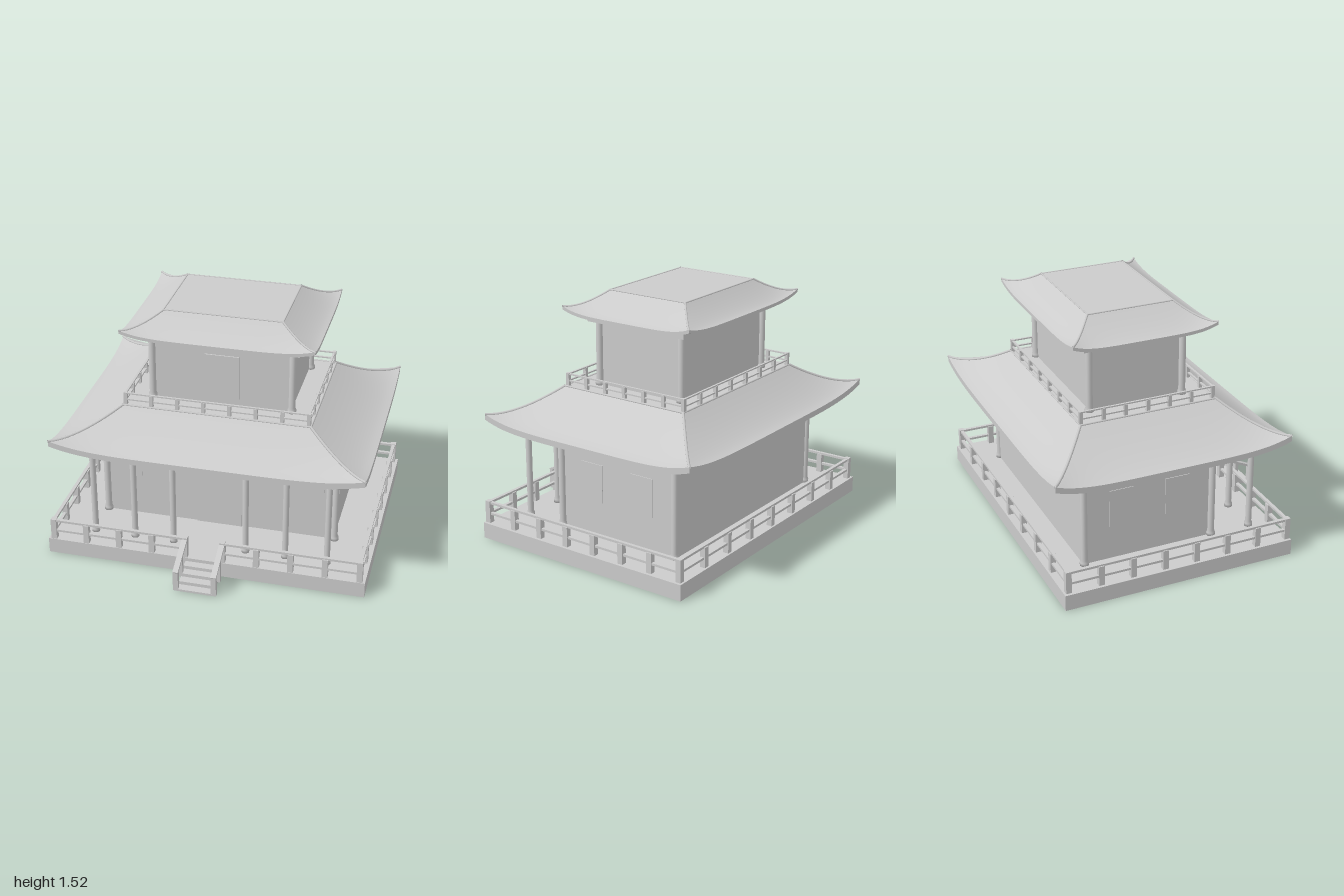
import * as THREE from 'three';
import { mergeGeometries } from 'three/addons/utils/BufferGeometryUtils.js';

const mat = new THREE.MeshStandardMaterial({ color: 0xcccccc, side: THREE.DoubleSide });

function add(parent, name, geo) {
  const m = new THREE.Mesh(geo, mat);
  m.name = name;
  parent.add(m);
  return m;
}

// Box given by its min and max on each axis
function box(parent, name, x0, x1, y0, y1, z0, z1) {
  const m = add(parent, name, new THREE.BoxGeometry(x1 - x0, y1 - y0, z1 - z0));
  m.position.set((x0 + x1) / 2, (y0 + y1) / 2, (z0 + z1) / 2);
  return m;
}

// Square bar between two points
function bar(parent, name, a, b, w, h) {
  const A = new THREE.Vector3(...a), B = new THREE.Vector3(...b);
  const m = add(parent, name, new THREE.BoxGeometry(w, h, A.distanceTo(B)));
  m.position.copy(A).add(B).multiplyScalar(0.5);
  m.lookAt(B);
  return m;
}

// Round column with a small foot
function column(parent, name, x, z, y0, y1, r) {
  const pts = [[0, 0], [r * 1.3, 0], [r * 1.3, 0.02], [r, 0.035], [r, y1 - y0], [0, y1 - y0]];
  const m = add(parent, name, new THREE.LatheGeometry(pts.map(p => new THREE.Vector2(...p)), 16));
  m.position.set(x, y0, z);
}

// Straight railing run: posts at even spacing plus two rails
function railing(parent, a, b, n, y, h, w) {
  const [ax, az] = a, [bx, bz] = b;
  for (let i = 0; i <= n; i++) {
    const x = ax + (bx - ax) * i / n, z = az + (bz - az) * i / n;
    const top = y + (i === 0 || i === n ? h : h * 0.9);
    box(parent, 'railingPost', x - w / 2, x + w / 2, y, top, z - w / 2, z + w / 2);
  }
  for (const f of [0.92, 0.42])
    bar(parent, 'railingRail', [ax, y + h * f, az], [bx, y + h * f, bz], w * 0.6, h * 0.1);
}

// A point of a rectangular ring on side s, t from -1 to 1, corners lifted
function ringPoint(r, s, t) {
  const y = r.y + r.lift * Math.abs(t) ** 5;
  const [x, z] = [[t * r.hx, r.hz], [r.hx, -t * r.hz], [-t * r.hx, -r.hz], [-r.hx, t * r.hz]][s];
  return new THREE.Vector3(x, y, z + r.cz);
}

// Skin the four sides through a list of rings
function skin(rings) {
  const N = 40, sides = [];
  for (let s = 0; s < 4; s++) {
    const pos = [], idx = [];
    rings.forEach((r, j) => {
      for (let i = 0; i <= N; i++) {
        pos.push(...ringPoint(r, s, i / N * 2 - 1).toArray());
        if (i < N && j < rings.length - 1) {
          const a = j * (N + 1) + i, d = a + N + 1;
          idx.push(a, a + 1, d + 1, a, d + 1, d);
        }
      }
    });
    const g = new THREE.BufferGeometry();
    g.setAttribute('position', new THREE.Float32BufferAttribute(pos, 3));
    g.setIndex(idx);
    g.computeVertexNormals();
    sides.push(g);
  }
  return mergeGeometries(sides);
}

// Hipped roof with concave slopes, upturned corners and a flat top
function roof(parent, name, o) {
  const g = new THREE.Group();
  g.name = name;
  parent.add(g);
  const slope = [];
  for (let j = 0; j <= 12; j++) {
    const v = j / 12, mix = (a, b) => a + (b - a) * v;
    slope.push({
      hx: mix(o.eave[0], o.top[0]), hz: mix(o.eave[1], o.top[1]), cz: o.cz,
      y: o.yEave + (o.yTop - o.yEave) * v ** 1.35, lift: o.lift * (1 - v) ** 2.5,
    });
  }
  const lip = { ...slope[0], y: o.yEave - o.thick };
  const inner = { hx: o.under[0], hz: o.under[1], cz: o.cz, y: o.yUnder, lift: 0 };
  add(g, 'roofSlopes', skin(slope));
  add(g, 'eaveEdge', skin([lip, slope[0]]));
  add(g, 'roofUnderside', skin([inner, lip]));
  box(g, 'roofTop', -o.top[0], o.top[0], o.yTop - 0.01, o.yTop, o.cz - o.top[1], o.cz + o.top[1]);
  box(g, 'ceiling', -inner.hx, inner.hx, o.yUnder, o.yUnder + 0.005, o.cz - inner.hz, o.cz + inner.hz);
  // Ridge trim along hips and around the top
  const last = slope[slope.length - 1];
  for (let s = 0; s < 4; s++) {
    const hip = new THREE.CatmullRomCurve3(slope.map(r => ringPoint(r, s, 1)));
    add(g, 'hipRidge', new THREE.TubeGeometry(hip, 24, o.trim, 6));
    const edge = new THREE.LineCurve3(ringPoint(last, s, -1), ringPoint(last, s, 1));
    add(g, 'topRidge', new THREE.TubeGeometry(edge, 1, o.trim * 0.7, 6));
  }
}

export function createModel() {
  const model = new THREE.Group();
  model.name = 'pavilion';
  const group = name => {
    const g = new THREE.Group();
    g.name = name;
    model.add(g);
    return g;
  };

  // Platform and front steps
  box(model, 'platform', -1, 1, 0, 0.1, -0.825, 0.654);
  const stairs = group('stairs');
  for (let i = 0; i < 4; i++)
    box(stairs, 'step', -0.11, 0.11, 0, 0.078 - i * 0.0215, 0.65, 0.705 + i * 0.052);
  for (const s of [-1, 1]) {
    const x = s * 0.118;
    box(stairs, 'stairPost', x - 0.016, x + 0.016, 0, 0.13, 0.835, 0.86);
    box(stairs, 'stairPost', x - 0.016, x + 0.016, 0.03, 0.18, 0.735, 0.757);
    bar(stairs, 'stairRail', [x, 0.128, 0.86], [x, 0.228, 0.64], 0.034, 0.014);
  }

  // Lower railing, open at the steps
  const rail = group('lowerRailing');
  for (const s of [-1, 1]) {
    railing(rail, [s * 0.965, 0.633], [s * 0.965, -0.795], 7, 0.1, 0.14, 0.035);
    railing(rail, [s * 0.965, 0.633], [s * 0.118, 0.633], 4, 0.1, 0.14, 0.035);
  }
  railing(rail, [-0.965, -0.795], [0.965, -0.795], 8, 0.1, 0.14, 0.035);

  // Ground storey
  const lower = group('lowerStorey');
  box(lower, 'lowerWalls', -0.735, 0.735, 0.1, 0.66, -0.605, 0.23);
  box(lower, 'lowerBeam', -0.77, 0.77, 0.645, 0.68, -0.65, 0.52);
  box(lower, 'lowerDoor', -0.145, 0.145, 0.1, 0.535, 0.225, 0.238);
  for (const s of [-1, 1]) {
    for (const x of [0.23, 0.48, 0.74]) column(lower, 'verandaColumn', s * x, 0.497, 0.1, 0.66, 0.019);
    for (const z of [0.235, -0.6]) column(lower, 'cornerColumn', s * 0.74, z, 0.1, 0.66, 0.021);
    box(lower, 'frontWindow', s * 0.585 - 0.08, s * 0.585 + 0.08, 0.38, 0.535, 0.225, 0.235);
    for (const z of [0.005, -0.36])
      box(lower, 'sideWindow', s * 0.735 - 0.005, s * 0.735 + 0.005, 0.315, 0.555, z - 0.078, z + 0.078);
  }
  roof(model, 'lowerRoof', {
    eave: [0.967, 0.746], top: [0.585, 0.437], under: [0.72, 0.6], cz: -0.111,
    yEave: 0.743, yTop: 0.937, yUnder: 0.677, thick: 0.036, lift: 0.055, trim: 0.009,
  });

  // Balcony railing
  const balcony = group('balconyRailing');
  for (const s of [-1, 1]) {
    railing(balcony, [s * 0.57, 0.31], [s * 0.57, -0.54], 6, 0.935, 0.083, 0.022);
    const z = s > 0 ? 0.31 : -0.54;
    railing(balcony, [-0.57, z], [0.57, z], 7, 0.935, 0.083, 0.022);
  }

  // Upper storey
  const upper = group('upperStorey');
  box(upper, 'upperWalls', -0.43, 0.43, 0.93, 1.35, -0.425, 0.165);
  box(upper, 'upperBeam', -0.487, 0.487, 1.335, 1.368, -0.48, 0.222);
  box(upper, 'upperDoor', -0.108, 0.108, 0.935, 1.265, 0.16, 0.173);
  for (const x of [-0.437, 0.437])
    for (const z of [0.172, -0.43]) column(upper, 'upperColumn', x, z, 0.935, 1.35, 0.021);
  roof(model, 'upperRoof', {
    eave: [0.593, 0.457], top: [0.366, 0.273], under: [0.45, 0.36], cz: -0.132,
    yEave: 1.397, yTop: 1.516, yUnder: 1.365, thick: 0.02, lift: 0.038, trim: 0.007,
  });
  return model;
}
